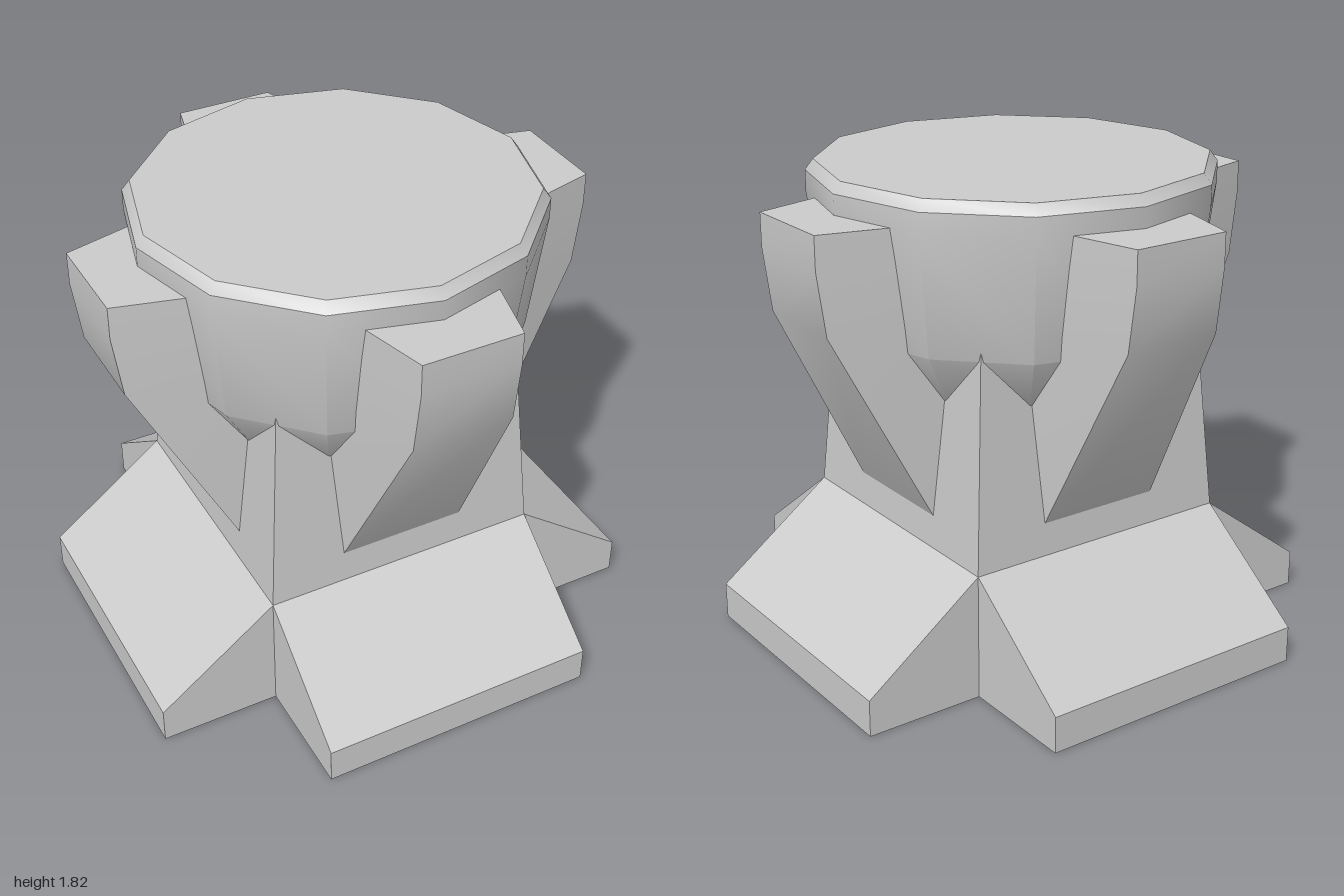
import * as THREE from 'three';
import { toCreasedNormals } from 'three/addons/utils/BufferGeometryUtils.js';

const material = new THREE.MeshStandardMaterial({ color: 0xcccccc });

function part(name, geometry, crease = 0.55) {
  const mesh = new THREE.Mesh(toCreasedNormals(geometry, crease), material);
  mesh.name = name;
  return mesh;
}

// Solid through four-cornered sections, bottom to top, corners counter-clockwise from above
function loft(sections) {
  const index = [];
  for (let s = 0; s < sections.length - 1; s++) {
    for (let i = 0; i < 4; i++) {
      const a = s * 4 + i, b = s * 4 + (i + 1) % 4;
      index.push(a, b, b + 4, a, b + 4, a + 4);
    }
  }
  const t = (sections.length - 1) * 4;
  index.push(0, 2, 1, 0, 3, 2, t, t + 1, t + 2, t, t + 2, t + 3);
  const geometry = new THREE.BufferGeometry();
  geometry.setAttribute('position', new THREE.Float32BufferAttribute(sections.flat(2), 3));
  geometry.setIndex(index);
  return geometry;
}

// Sloped foot reaching out along +z
function footGeometry() {
  const profile = new THREE.Shape([[0.543, 0], [1, 0], [1, 0.14], [0.543, 0.48]]
    .map(([z, y]) => new THREE.Vector2(z, y)));
  return new THREE.ExtrudeGeometry(profile, { depth: 1.086, bevelEnabled: false })
    .translate(0, 0, -0.543).rotateY(-Math.PI / 2);
}

// Buttress leaning out along +z, wider towards the core
function buttressGeometry() {
  const inner = 0.4;
  const rows = [ // height, outer depth, outer half width
    [0.6, 0.532, 0.245], [1.34, 0.913, 0.193], [1.58, 0.945, 0.19], [1.705, 0.945, 0.19],
  ];
  return loft(rows.map(([y, d, w]) => {
    const wi = w + 0.255 * (d - inner);
    return [[-w, y, d], [w, y, d], [wi, y, inner], [-wi, y, inner]];
  }));
}

export function createModel() {
  const model = new THREE.Group();
  model.name = 'pedestal';

  // Square core: straight plinth and tapering column
  model.add(part('plinth', new THREE.BoxGeometry(1.086, 0.48, 1.086).translate(0, 0.24, 0)));
  const column = new THREE.CylinderGeometry(0.468 * Math.SQRT2, 0.543 * Math.SQRT2, 1.02, 4)
    .rotateY(Math.PI / 4).translate(0, 0.99, 0);
  model.add(part('column', column));

  // Twelve-sided bowl with a chamfered rim and closed top
  const bowlProfile = [[0.4, 0.84], [0.574, 1.05], [0.704, 1.25], [0.76, 1.7],
    [0.76, 1.78], [0.73, 1.82], [0, 1.82]].map(([r, y]) => new THREE.Vector2(r, y));
  model.add(part('bowl', new THREE.LatheGeometry(bowlProfile, 12), 0.6));

  // One foot and one buttress on each of the four sides
  const foot = footGeometry(), buttress = buttressGeometry();
  for (let i = 0; i < 4; i++) {
    const side = new THREE.Group();
    side.name = 'side' + (i + 1);
    side.add(part('foot', foot), part('buttress', buttress));
    side.rotation.y = i * Math.PI / 2;
    model.add(side);
  }
  return model;
}
